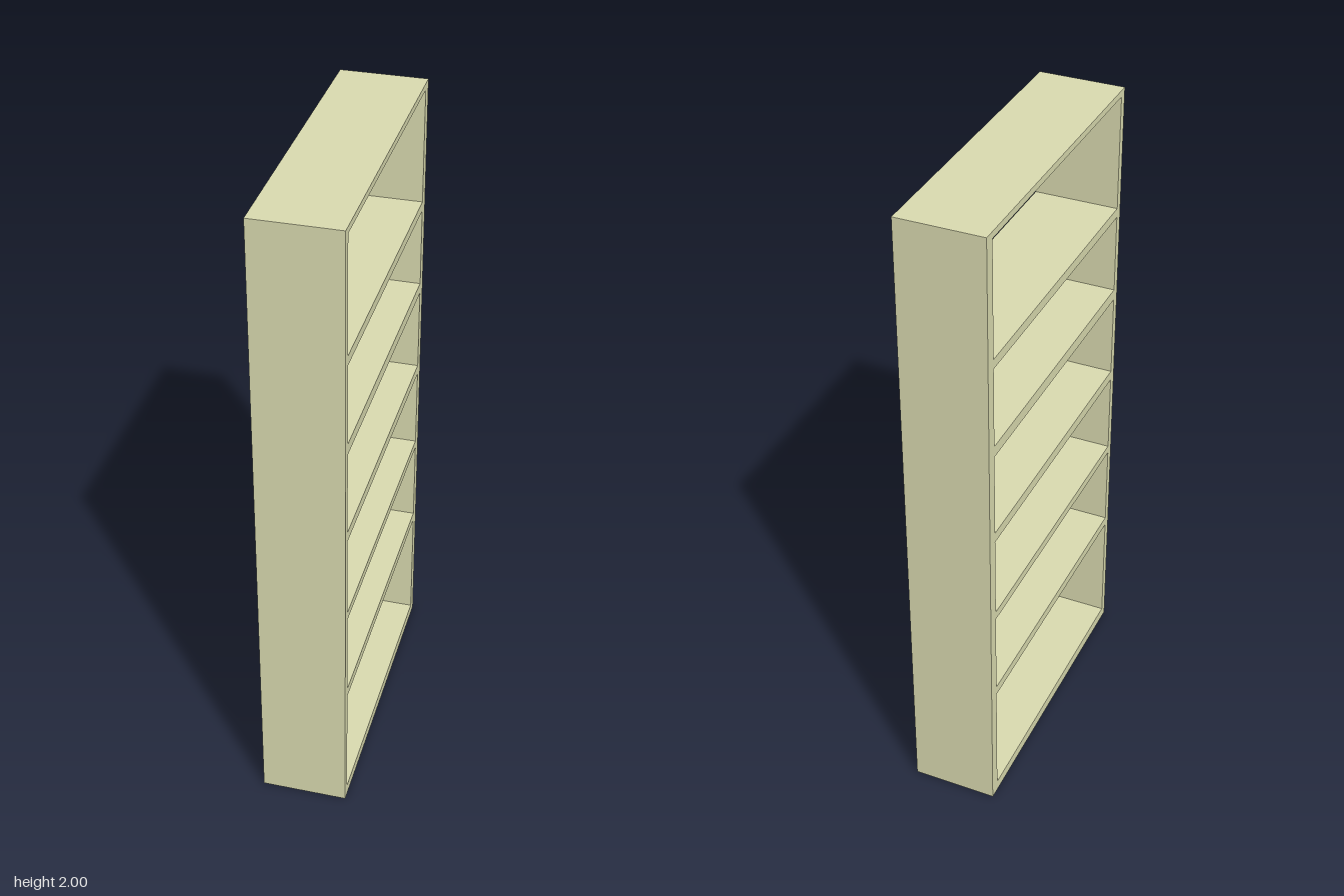
import * as THREE from 'three';

const DEPTH = 0.264;            // front-to-back of the boards, along x
const HALF_WIDTH = 0.475;       // along z
const HEIGHT = 2;
const BAY_Z = [-0.44, 0.45];    // inner faces of the two side panels

// Bottom and top of each open bay; the gaps between them are the boards
const BAYS = [
  [0.035, 0.413],
  [0.443, 0.715],
  [0.742, 1.005],
  [1.037, 1.303],
  [1.338, 1.59],
  [1.62, 1.98],
];

// Adds a closed rectangle to a shape or path
function rectangle(path, x0, y0, x1, y1) {
  path.moveTo(x0, y0);
  path.lineTo(x1, y0);
  path.lineTo(x1, y1);
  path.lineTo(x0, y1);
  path.closePath();
  return path;
}

export function createModel() {
  const group = new THREE.Group();
  group.name = 'bookshelf';

  // Outer outline of the case, drawn as (z, y)
  const outline = rectangle(new THREE.Shape(), -HALF_WIDTH, 0, HALF_WIDTH, HEIGHT);

  // One opening per bay
  for (const [bottom, top] of BAYS) {
    outline.holes.push(rectangle(new THREE.Path(), BAY_Z[0], bottom, BAY_Z[1], top));
  }

  // Extrude through the depth, then turn so the openings run along x
  const geometry = new THREE.ExtrudeGeometry(outline, { depth: DEPTH, bevelEnabled: false });
  geometry.translate(0, 0, -DEPTH / 2);
  geometry.rotateY(-Math.PI / 2);

  const wood = new THREE.MeshStandardMaterial({ color: 0xdadbb0 });
  const frame = new THREE.Mesh(geometry, wood);
  frame.name = 'shelfFrame';
  group.add(frame);

  return group;
}
